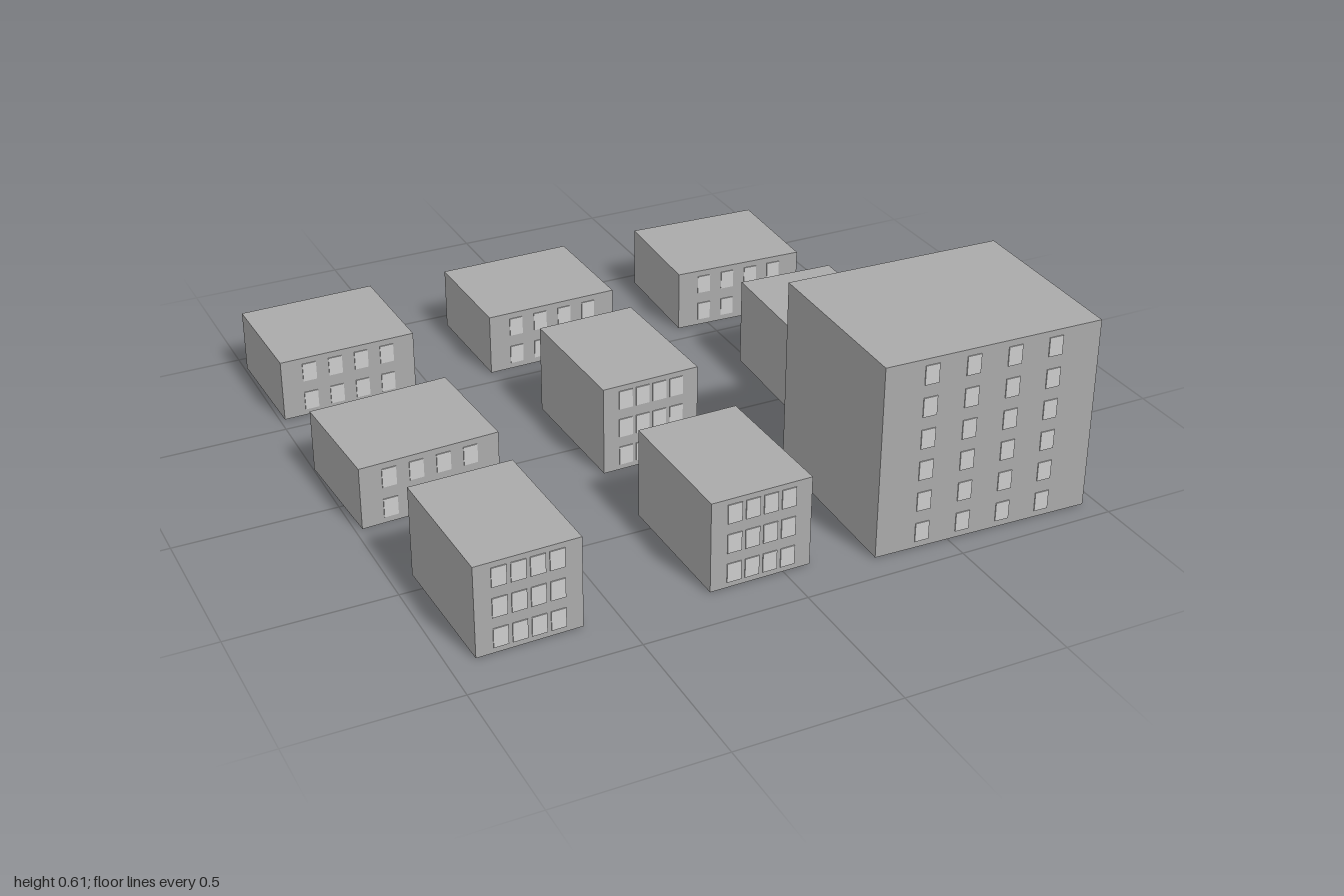
import * as THREE from 'three';

const wall = new THREE.MeshStandardMaterial({ color: 0xaaaaaa });
wall.name = 'concrete grey';
const pane = new THREE.MeshStandardMaterial({ color: 0xcccccc });
pane.name = 'window light grey';
const wood = new THREE.MeshStandardMaterial({ color: 0x654321 });
wood.name = 'door brown';

const BASE = 0.003; // blocks start just above the door sills

function box(name, w, h, d, x, y, z, material) {
  const mesh = new THREE.Mesh(new THREE.BoxGeometry(w, h, d), material);
  mesh.name = name;
  mesh.position.set(x, y, z);
  return mesh;
}

// One block: body, window grids on front and back, door at the back corner
function building({ name, x, z, turn, w, d, top, floors, spacing }) {
  const g = new THREE.Group();
  g.name = name;
  const h = top - BASE;
  g.add(box('body', w, h, d, 0, BASE + h / 2, 0, wall));
  for (const side of [1, -1]) {
    for (let f = 0; f < floors; f++) {
      const y = BASE + ((f + 0.5) * h) / floors;
      for (let c = 0; c < 4; c++) {
        g.add(box('window', 0.044, 0.06, 0.006, (c - 1.5) * spacing, y, side * d / 2, pane));
      }
    }
  }
  g.add(box('door', 0.05, 0.08, 0.01, w / 2, 0.04, -d / 2, wood));
  g.position.set(x, 0, z);
  g.rotation.y = turn;
  return g;
}

const low = { name: 'lowBuilding', w: 0.437, d: 0.376, top: 0.202, floors: 2, spacing: 0.085 };
const mid = { name: 'midBuilding', w: 0.314, d: 0.44, top: 0.287, floors: 3, spacing: 0.056 };
const tall = { name: 'tallBuilding', w: 0.69, d: 0.565, top: 0.608, floors: 6, spacing: 0.132 };

export function createModel() {
  const model = new THREE.Group();
  model.name = 'cityBlocks';
  // Three by three layout: [type, turn], back row first
  const rows = [
    [[low, 0.02], [low, 0.018], [low, -0.042]],
    [[low, 0.05], [mid, 0.025], [mid, -0.045]],
    [[mid, 0.027], [mid, 0.013], [tall, -0.03]],
  ];
  const xs = [-0.771, -0.077, 0.617];
  const zs = [-0.746, -0.052, 0.643];
  rows.forEach((row, r) => row.forEach(([type, turn], c) => {
    model.add(building({ ...type, x: xs[c], z: zs[r], turn }));
  }));
  return model;
}
